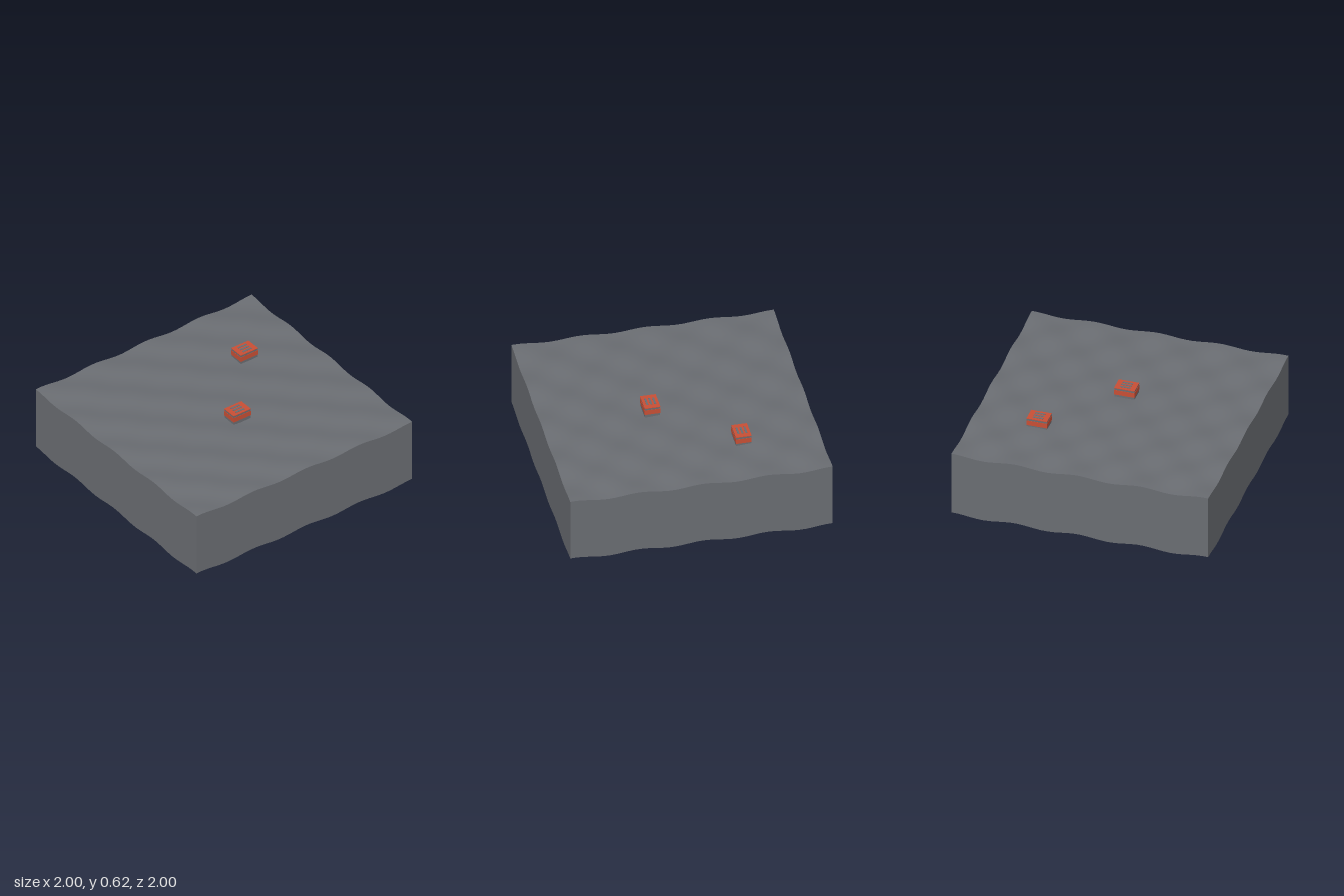
import * as THREE from 'three';

const SEGMENTS = 40;
const SKIRT_DEPTH = 0.525;

// Gentle ripples of the ground surface
const ripple = (t) => Math.cos((Math.PI / 0.245) * (t + 1));
const groundHeight = (x, z) => 0.536 + 0.011 * ripple(x) * ripple(z);

export function createModel() {
  const stone = new THREE.MeshStandardMaterial({ color: 0x6a6d72, side: THREE.DoubleSide });
  stone.name = 'stone grey';
  const red = new THREE.MeshStandardMaterial({ color: 0xc84f35 });
  red.name = 'brick red';

  const model = new THREE.Group();
  model.name = 'groundBlock';

  const add = (parent, name, geometry, material, x = 0, y = 0, z = 0) => {
    const mesh = new THREE.Mesh(geometry, material);
    mesh.name = name;
    mesh.position.set(x, y, z);
    parent.add(mesh);
    return mesh;
  };

  // Rippled top surface
  const top = new THREE.PlaneGeometry(2, 2, SEGMENTS, SEGMENTS).rotateX(-Math.PI / 2);
  const points = top.attributes.position;
  for (let i = 0; i < points.count; i++) {
    points.setY(i, groundHeight(points.getX(i), points.getZ(i)));
  }
  top.computeVertexNormals();
  add(model, 'groundSurface', top, stone);

  // Four skirt walls of constant depth hanging from the surface; open below
  ['frontWall', 'leftWall', 'backWall', 'rightWall'].forEach((name, side) => {
    const wall = new THREE.PlaneGeometry(2, 1, SEGMENTS, 1)
      .translate(0, -0.5, 1)
      .rotateY((side * Math.PI) / 2);
    const p = wall.attributes.position;
    for (let i = 0; i < p.count; i++) {
      p.setY(i, groundHeight(p.getX(i), p.getZ(i)) + p.getY(i) * SKIRT_DEPTH);
    }
    add(model, name, wall, stone);
  });

  // Small vent box: grey body, red band around it, slotted red lid
  const addVent = (name, x, z) => {
    const vent = new THREE.Group();
    vent.name = name;
    vent.position.set(x, 0, z);
    add(vent, 'ventBody', new THREE.BoxGeometry(0.116, 0.083, 0.156), stone, 0, 0.5685, 0);
    add(vent, 'ventBand', new THREE.BoxGeometry(0.12, 0.04, 0.16), red, 0, 0.574, 0);
    add(vent, 'ventLid', new THREE.BoxGeometry(0.12, 0.004, 0.16), red, 0, 0.611, 0);
    for (const slotX of [-0.03, 0, 0.03]) {
      add(vent, 'ventSlot', new THREE.BoxGeometry(0.015, 0.004, 0.08), stone, slotX, 0.6135, 0);
    }
    model.add(vent);
  };
  addVent('rearVent', -0.417, -0.5);
  addVent('middleVent', 0.166, 0);

  return model;
}
